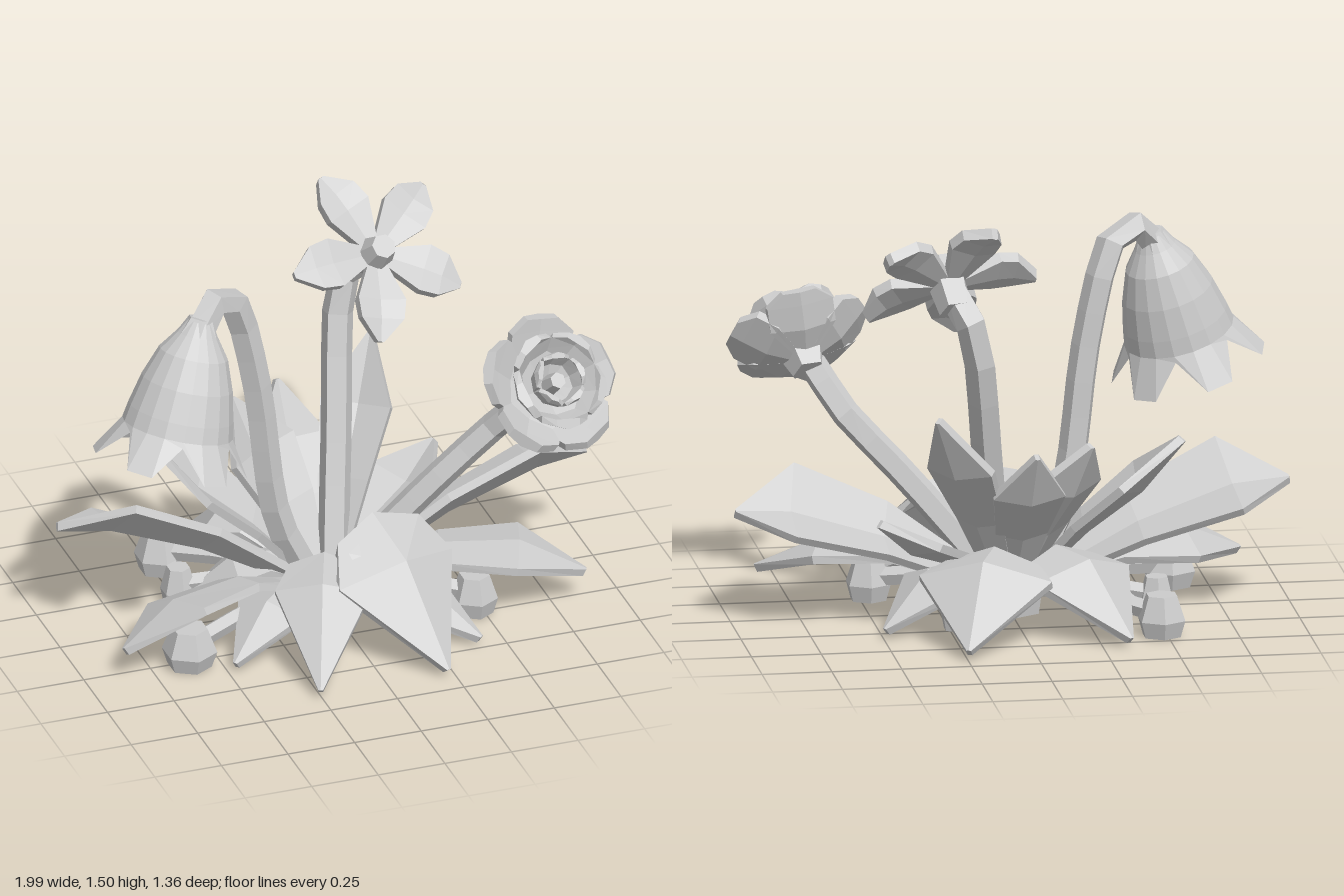
import * as THREE from 'three';

const grey = new THREE.MeshStandardMaterial({ color: 0xcccccc, side: THREE.DoubleSide });
grey.name = 'plainGrey';

const V = (x, y, z) => new THREE.Vector3(x, y, z);

// Faceted mesh from any geometry
function part(name, geo, parent) {
  const g = geo.index ? geo.toNonIndexed() : geo;
  g.computeVertexNormals();
  const m = new THREE.Mesh(g, grey);
  m.name = name;
  parent.add(m);
  return m;
}

// Thick folded blade along midrib points, with a half width at each point
function blade(pts, widths, { cup = 0.3, roll = 0, thick = 0.03, up = V(0, 1, 0) } = {}) {
  const pos = [], idx = [], end = pts.length - 1;
  const axis = pts[end].clone().sub(pts[0]).normalize();
  const side = axis.clone().cross(up).normalize().applyAxisAngle(axis, roll);
  pts.forEach((p, i) => {
    const fwd = pts[Math.min(i + 1, end)].clone().sub(pts[Math.max(i - 1, 0)]).normalize();
    const n = side.clone().cross(fwd).normalize(), w = widths[i], e = cup * w;
    const put = (s, h) => pos.push(...p.clone().addScaledVector(side, s * w).addScaledVector(n, h).toArray());
    put(-1, e); put(0, 0); put(1, e);
    put(1, e - thick); put(0, -thick); put(-1, e - thick);
  });
  for (let i = 0; i < end; i++) for (let j = 0; j < 6; j++) {
    const a = i * 6 + j, b = i * 6 + (j + 1) % 6;
    idx.push(a, b, b + 6, a, b + 6, a + 6);
  }
  const last = end * 6;
  for (let j = 1; j < 5; j++) idx.push(0, j + 1, j, last, last + j, last + j + 1);
  const g = new THREE.BufferGeometry();
  g.setAttribute('position', new THREE.Float32BufferAttribute(pos, 3));
  g.setIndex(idx);
  return g;
}

// Leaf from the plant's heart over a widest point to a tip; lift arches its lower half
function leaf(name, mid, tip, width, lift, opts, parent) {
  const root = V(mid.x * 0.15, 0.13, mid.z * 0.15);
  const knee = root.clone().lerp(mid, 0.5);
  knee.y += lift;
  part(name, blade([root, knee, mid, tip], [0.05, width * 0.72, width, 0.008], opts), parent);
}

function tube(name, points, radius, parent, segs = 8) {
  const curve = new THREE.CatmullRomCurve3(points.map(p => V(...p)), false, 'centripetal');
  part(name, new THREE.TubeGeometry(curve, segs, radius, 5), parent);
}

// Group whose +z points along the given direction
function facing(name, at, dir, parent) {
  const g = new THREE.Group();
  g.name = name;
  g.position.set(...at);
  g.quaternion.setFromUnitVectors(V(0, 0, 1), V(...dir).normalize());
  parent.add(g);
  return g;
}

// Ring of five petals in a flower's local frame; profile is [radius, height, halfWidth]
function petals(name, start, profile, cup, thick, parent) {
  for (let k = 0; k < 5; k++) {
    const a = start + k * Math.PI * 0.4;
    const pts = profile.map(([r, h]) => V(r * Math.cos(a), r * Math.sin(a), h));
    part(name, blade(pts, profile.map(q => q[2]), { up: V(0, 0, 1), cup, thick }), parent);
  }
}

function disc(name, r1, r2, depth, z, sides, parent) {
  const m = part(name, new THREE.CylinderGeometry(r1, r2, depth, sides), parent);
  m.rotation.x = Math.PI / 2;
  m.position.z = z;
}

export function createModel() {
  const model = new THREE.Group();
  model.name = 'flowerPlant';

  // Root base
  part('base', new THREE.CylinderGeometry(0.13, 0.11, 0.13, 6), model).position.y = 0.065;

  // Mirrored side leaves: a raised, rolled pair and a low pair; the model's right is a little higher
  for (const s of [-1, 1]) {
    leaf('sideLeaf', V(s * 0.79, 0.425 - s * 0.02, -0.04), V(s * 0.99, 0.445 - s * 0.025, -0.06), 0.195, 0.03, { roll: -0.52 * s }, model);
    leaf('lowSideLeaf', V(s * 0.65, 0.24, 0.21), V(s * 0.87, 0.13, 0.3), 0.17, 0.05, { cup: -0.15, roll: 0.18 - 0.18 * s }, model);
  }

  // Drooping leaves: tip x, tip z, shoulder height, half width, lift
  const drooping = [
    [0.22, 0.68, 0.37, 0.25, 0.23], [-0.26, 0.67, 0.33, 0.17, 0.12],
    [0.41, 0.49, 0.18, 0.13, 0.05], [-0.48, 0.38, 0.19, 0.13, 0.05],
    [0.25, -0.68, 0.3, 0.24, 0.09], [-0.35, -0.59, 0.28, 0.21, 0.09],
    [0.5, -0.33, 0.22, 0.15, 0.05], [-0.5, -0.14, 0.2, 0.13, 0.05],
  ];
  for (const [x, z, h, w, lift] of drooping)
    leaf('droopingLeaf', V(x * 0.65, h, z * 0.65), V(x, 0.04, z), w, lift, { cup: -0.35 }, model);

  // Upright leaves: tip x, y, z, half width
  const upright = [
    [0.31, 0.82, -0.41, 0.13], [-0.03, 0.68, -0.43, 0.13], [-0.23, 0.69, -0.34, 0.17],
    [-0.58, 0.66, -0.17, 0.19], [0.5, 0.42, -0.28, 0.14],
  ];
  for (const [x, y, z, w] of upright)
    leaf('uprightLeaf', V(x * 0.75, y * 0.72, z * 0.78), V(x, y, z), w, 0.02, {}, model);

  // Flower stems
  tube('bellStem', [[-0.06, 0.1, 0], [-0.2, 0.4, 0.03], [-0.28, 0.95, 0.04], [-0.35, 1.26, 0.05],
    [-0.4, 1.35, 0.08], [-0.5, 1.35, 0.14], [-0.54, 1.28, 0.17]], 0.055, model, 12);
  tube('starStem', [[0.04, 0.1, -0.04], [0.1, 0.55, -0.18], [0.17, 1.1, -0.32], [0.2, 1.17, -0.3], [0.24, 1.24, -0.22]], 0.058, model);
  tube('roundStem', [[0.05, 0.12, 0.02], [0.34, 0.46, 0.11], [0.58, 0.72, 0.19], [0.63, 0.8, 0.25], [0.68, 0.88, 0.32]], 0.053, model);

  // Hanging bell flower: lathe whose rim is pulled into six flared lobes
  const bell = facing('bellFlower', [-0.53, 1.32, 0.16], [-0.15, -0.52, 0.09], model);
  const profile = [[0.045, 0], [0.075, 0.05], [0.125, 0.12], [0.165, 0.23], [0.19, 0.34], [0.2, 0.4], [0.28, 0.53]];
  const cup = new THREE.LatheGeometry(profile.map(q => new THREE.Vector2(...q)), 18);
  const p = cup.attributes.position, rows = profile.length;
  for (let i = rows - 1; i < p.count; i += rows * 3)
    p.setXYZ(i, p.getX(i) * 0.74, 0.42, p.getZ(i) * 0.74);
  part('bellPetals', cup, bell).rotation.x = Math.PI / 2;
  disc('bellCap', 0.075, 0.045, 0.06, 0.02, 6, bell);

  // Open star flower
  const star = facing('starFlower', [0.25, 1.27, -0.18], [0.12, 0.68, 0.7], model);
  petals('starPetal', 0.7, [[0.03, 0, 0.03], [0.18, 0.02, 0.09], [0.25, 0.02, 0.08], [0.33, 0, 0.012]], 0.2, 0.04, star);
  disc('starCentre', 0.045, 0.065, 0.08, 0.04, 7, star);
  disc('starCalyx', 0.075, 0.06, 0.13, -0.07, 5, star);

  // Layered round flower, its outer petals forming a bowl
  const round = facing('roundFlower', [0.7, 0.92, 0.35], [0.16, 0.62, 0.74], model);
  petals('outerPetal', 0.2, [[0.03, -0.05, 0.04], [0.13, -0.02, 0.12], [0.2, 0.03, 0.12], [0.24, 0.06, 0.06]], 0.2, 0.035, round);
  petals('middlePetal', 0.83, [[0.03, 0, 0.04], [0.11, 0.04, 0.09], [0.15, 0.1, 0.09], [0.16, 0.13, 0.045]], 0.3, 0.025, round);
  petals('innerPetal', 0.2, [[0.02, 0.02, 0.03], [0.07, 0.06, 0.05], [0.085, 0.12, 0.05], [0.08, 0.14, 0.025]], 0.3, 0.015, round);
  disc('roundCentre', 0.03, 0.04, 0.09, 0.06, 6, round);
  disc('roundCalyx', 0.09, 0.06, 0.1, -0.08, 5, round);

  // Small buds on runners around the base: x, z, radius
  const buds = [[-0.61, 0.27, 0.1], [-0.48, -0.42, 0.09], [0.47, 0.24, 0.085], [-0.5, -0.16, 0.065], [0.22, -0.22, 0.065]];
  const budProfile = [[0, 0], [0.8, 0], [1, 0.06], [0.65, 0.15], [0, 0.15]];
  for (const [x, z, r] of buds) {
    const bud = new THREE.LatheGeometry(budProfile.map(([k, y]) => new THREE.Vector2(k * r, y)), 6);
    part('bud', bud, model).position.set(x, 0, z);
    tube('runner', [[0, 0.1, 0], [x * 0.5, 0.11, z * 0.5], [x, 0.08, z]], 0.035, model, 3);
  }
  return model;
}
